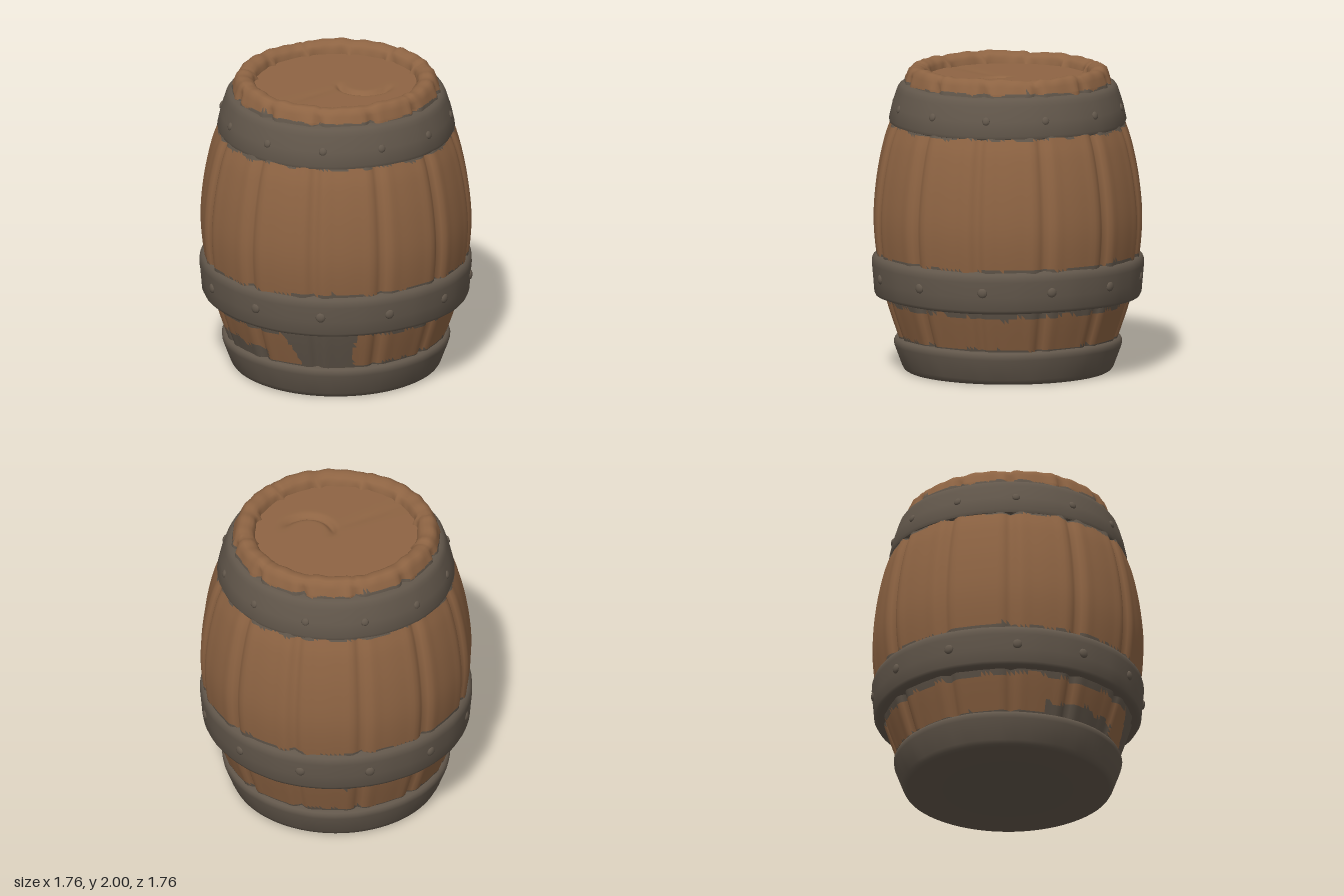
import * as THREE from 'three';
import { mergeVertices, toCreasedNormals } from 'three/addons/utils/BufferGeometryUtils.js';

const material = (name, color) => {
  const m = new THREE.MeshStandardMaterial({ color });
  m.name = name;
  return m;
};

const DEG = Math.PI / 180;
const STAVES = 12;
const SEAM = 12; // angle of the first seam, degrees from +z towards +x

// periodic wobble around the barrel, about -1 to 1
const wobble = (a, s) =>
  (Math.sin(3 * a + s) + Math.sin(7 * a + 2.3 * s) + Math.sin(17 * a + 4.1 * s) + Math.sin(29 * a + s)) / 3;

// lathe whose vertices are moved by rule(position, angle), with smooth normals across the join
function lathe(points, segments, rule) {
  let g = new THREE.LatheGeometry(points.map(([r, y]) => new THREE.Vector2(r, y)), segments);
  const p = g.attributes.position;
  const v = new THREE.Vector3();
  for (let i = 0; i < p.count; i++) {
    v.fromBufferAttribute(p, i);
    rule(v, Math.atan2(v.x, v.z));
    p.setXYZ(i, v.x, v.y, v.z);
  }
  g.deleteAttribute('uv');
  g.deleteAttribute('normal');
  g = mergeVertices(g, 1e-4);
  g.computeVertexNormals();
  return g;
}

// distance in degrees to the closest stave seam
function seamDistance(angle) {
  const step = 360 / STAVES;
  const t = (angle / DEG - SEAM + 720) / step;
  return Math.abs(t - Math.round(t)) * step;
}

const bump = (x, width) => Math.exp(-((x / width) ** 2));

// where the band colour spills onto the wood
function isPainted(c) {
  const a = Math.atan2(c.x, c.z);
  const d = a / DEG;
  const y = c.y;
  if (Math.hypot(c.x, c.z) < 0.6) return false;
  if (y < 0.235 + 0.012 * wobble(a, 1)) return true;
  if (y > 0.455 + 0.02 * wobble(a, 2) && y < 0.772 + 0.018 * wobble(a, 3)) return true;
  if (y > 1.612 + 0.016 * wobble(a, 4) && y < 1.895 + 0.02 * wobble(a, 5)) return true;
  // large stain at the lower front, running round the side
  if (y < 0.5 && d > -58 - 40 * (y - 0.3) && d < -31 + 25 * Math.abs(y - 0.33)) return true;
  return y < 0.5 && d > -120 && d < -75 && y < 0.3 + 0.03 * wobble(a, 6);
}

function makeStaves(wood, iron) {
  // belly curve with a rounded rim turning into the lid recess
  const belly = new THREE.SplineCurve([
    [0.66, 0.1], [0.715, 0.24], [0.80, 0.5], [0.85, 0.75], [0.87, 1], [0.85, 1.25],
    [0.805, 1.48], [0.755, 1.63], [0.69, 1.8], [0.665, 1.9],
  ].map(([r, y]) => new THREE.Vector2(r, y)));
  const points = belly.getPoints(75).map((p) => [p.x, p.y]);
  points.push([0.652, 1.94], [0.64, 1.968], [0.62, 1.982], [0.6, 1.986], [0.57, 1.982],
    [0.545, 1.968], [0.528, 1.945], [0.52, 1.9]);

  const geometry = lathe(points, 180, (v, a) => {
    const r = Math.hypot(v.x, v.z);
    const u = seamDistance(a);
    const rim = THREE.MathUtils.smoothstep(v.y, 1.9, 1.97);
    // narrow groove with a raised shoulder on each stave
    const groove = -0.026 * bump(u, 1.7) + 0.008 * bump(u - 5, 2.5);
    const k = 1 + ((1 - rim) * groove + rim * 0.006 * wobble(a, 2)) / r;
    v.x *= k * 1.005;
    v.z *= k * 0.995;
    v.y += rim * (0.009 * wobble(a, 1) - 0.014 * bump(u, 2) * (u < 4 && Math.sin(5 * a) > 0 ? 1 : 0));
  });

  // sort the faces by colour
  const index = geometry.index;
  const p = geometry.attributes.position;
  const lists = [[], []];
  const c = new THREE.Vector3();
  const q = new THREE.Vector3();
  for (let i = 0; i < index.count; i += 3) {
    const tri = [0, 1, 2].map((j) => index.getX(i + j));
    c.set(0, 0, 0);
    tri.forEach((t) => c.add(q.fromBufferAttribute(p, t)));
    lists[isPainted(c.divideScalar(3)) ? 1 : 0].push(...tri);
  }
  geometry.setIndex([...lists[0], ...lists[1]]);
  geometry.addGroup(0, lists[0].length, 0);
  geometry.addGroup(lists[0].length, lists[1].length, 1);
  return new THREE.Mesh(geometry, [wood, iron]);
}

function makeLid(wood) {
  const points = [];
  for (let i = 0; i <= 28; i++) points.push([0.545 * (1 - i / 28), 1.915]);
  // shallow curved knot and a faint dip along the grain
  const geometry = lathe(points, 72, (v) => {
    const dx = v.x - 0.14;
    const dz = v.z - 0.12;
    const arc = bump(Math.hypot(dx, dz) - 0.16, 0.025);
    const side = THREE.MathUtils.smoothstep(dz - dx, -0.05, 0.15);
    v.y -= 0.03 * arc * side;
    if (v.x < 0) v.y -= 0.006 * bump(v.z - 0.06, 0.03) * Math.min(1, -v.x * 4);
  });
  return new THREE.Mesh(geometry, wood);
}

function makeBand(points, iron, seed) {
  const geometry = lathe(points, 96, (v, a) => {
    const r = Math.hypot(v.x, v.z);
    if (r < 0.5 || v.y < 0.01) return;
    const k = 1 + 0.003 * wobble(a, seed);
    v.x *= k;
    v.z *= k;
    v.y += 0.003 * Math.sin(4 * a + seed);
  });
  return new THREE.Mesh(toCreasedNormals(geometry, 50 * DEG), iron);
}

function makeRivets(radius, y, slope, size, iron) {
  const group = new THREE.Group();
  const geometry = new THREE.SphereGeometry(size, 10, 8);
  for (let i = 0; i < STAVES; i++) {
    const a = (15 + i * 30) * DEG;
    const rivet = new THREE.Mesh(geometry, iron);
    rivet.name = 'rivet';
    rivet.position.set(radius * Math.sin(a), y, radius * Math.cos(a));
    rivet.rotation.set(slope, a, 0, 'YXZ');
    rivet.scale.z = 0.5;
    group.add(rivet);
  }
  return group;
}

export function createModel() {
  const wood = material('wood', 0x8e6443);
  const iron = material('iron', 0x62574b);
  const barrel = new THREE.Group();
  barrel.name = 'barrel';
  const add = (name, part) => {
    part.name = name;
    barrel.add(part);
  };

  add('staves', makeStaves(wood, iron));
  add('lid', makeLid(wood));

  // bottom band is closed by the base
  add('bottomBand', makeBand([
    [0, 0], [0.4, 0], [0.655, 0], [0.672, 0.01], [0.685, 0.035], [0.735, 0.17], [0.738, 0.195],
    [0.73, 0.213], [0.715, 0.222], [0.64, 0.222],
  ], iron, 1));
  add('middleBand', makeBand([
    [0.76, 0.49], [0.835, 0.49], [0.855, 0.497], [0.864, 0.515], [0.871, 0.6], [0.88, 0.7],
    [0.879, 0.725], [0.87, 0.748], [0.852, 0.763], [0.8, 0.767],
  ], iron, 2));
  add('topBand', makeBand([
    [0.68, 1.612], [0.745, 1.612], [0.762, 1.619], [0.768, 1.64], [0.748, 1.73], [0.718, 1.825],
    [0.708, 1.85], [0.695, 1.867], [0.675, 1.878], [0.62, 1.882],
  ], iron, 3));

  add('middleRivets', makeRivets(0.872, 0.63, 0, 0.032, iron));
  add('topRivets', makeRivets(0.745, 1.735, -0.3, 0.026, iron));
  return barrel;
}
